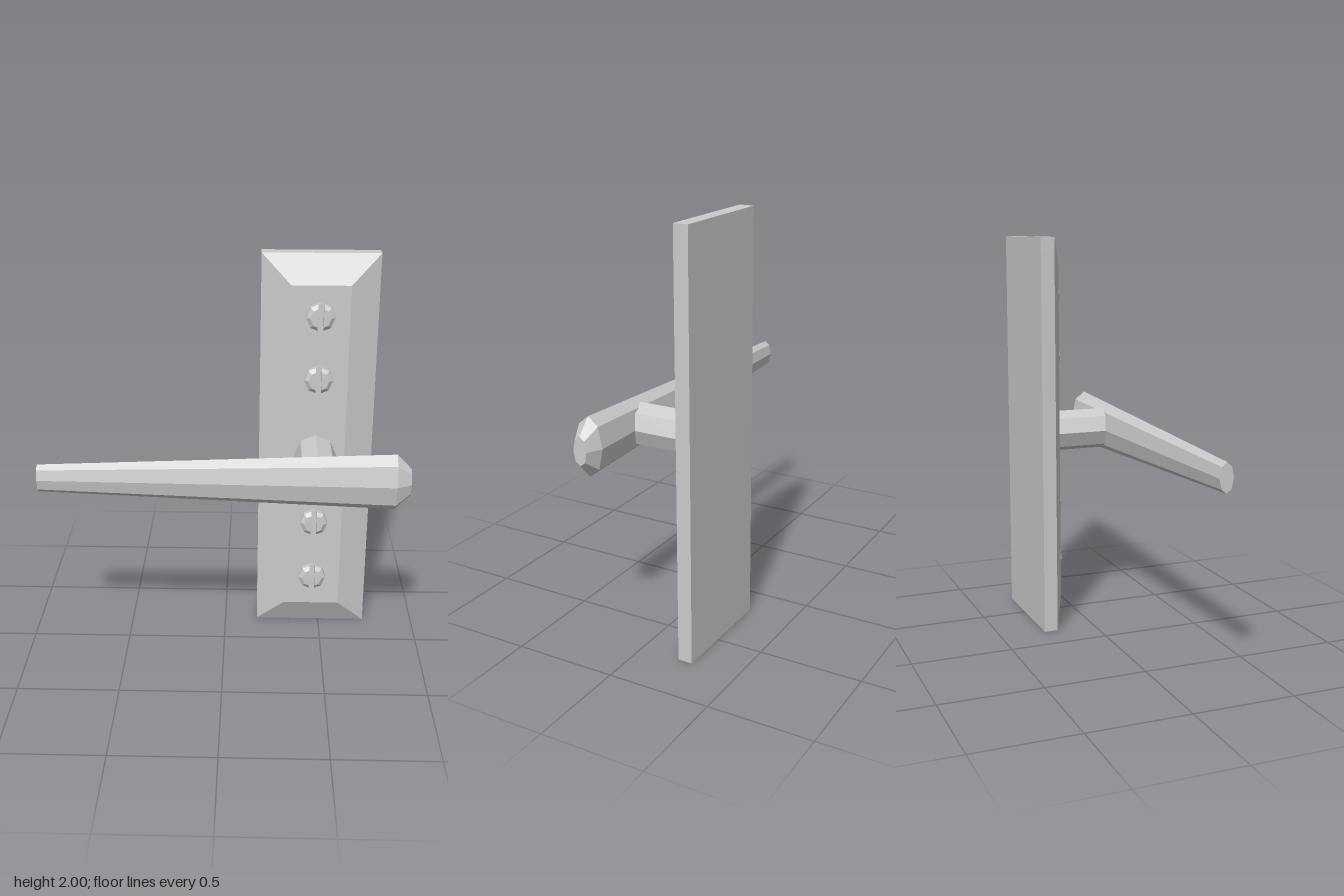
import * as THREE from 'three';
import { ConvexGeometry } from 'three/addons/geometries/ConvexGeometry.js';

const material = new THREE.MeshStandardMaterial({ color: 0xcccccc, flatShading: true });
const CX = 0.455, CY = 0.995;

function part(name, geometry, parent) {
  const mesh = new THREE.Mesh(geometry, material);
  mesh.name = name;
  parent.add(mesh);
  return mesh;
}

// Convex solid through rectangles given as [halfWidth, halfHeight, z]
function rectSolid(sections) {
  const points = [];
  for (const [w, h, z] of sections)
    for (const sx of [-1, 1])
      for (const sy of [-1, 1]) points.push(new THREE.Vector3(sx * w, sy * h, z));
  return new ConvexGeometry(points);
}

// Half of an octagonal chamfered screw head, cut flat along the slot
function halfHead(side, slot) {
  const points = [];
  for (const [r, z] of [[0.07, 0], [0.07, 0.025], [0.05, 0.04]]) {
    const c = r * Math.SQRT1_2, end = r - slot * 0.414;
    for (const [x, y] of [[slot, end], [c, c], [r, 0], [c, -c], [slot, -end]])
      points.push(new THREE.Vector3(side * x, y, z));
  }
  return new ConvexGeometry(points);
}

function createScrew(y) {
  const screw = new THREE.Group();
  screw.name = 'screw';
  part('slotFloor', new THREE.CylinderGeometry(0.07, 0.07, 0.015, 8).rotateX(Math.PI / 2), screw).position.z = 0.0075;
  part('headLeft', halfHead(1, 0.014), screw);
  part('headRight', halfHead(-1, 0.014), screw);
  screw.position.set(CX, y, -0.13);
  return screw;
}

export function createModel() {
  const model = new THREE.Group();
  model.name = 'doorHandle';

  // Back plate with bevelled front
  part('backPlate', rectSolid([[0.285, 1, -0.27], [0.285, 1, -0.2], [0.143, 0.86, -0.13]]), model)
    .position.set(CX, 1, 0);

  // Screws
  for (const y of [1.71, 1.395, 0.623, 0.308]) model.add(createScrew(y));

  // Spindle from plate to lever
  part('spindle', new THREE.CylinderGeometry(0.105, 0.105, 0.32, 8).rotateX(Math.PI / 2), model)
    .position.set(0.45, CY, 0.03);

  // Tapered lever, flattened in depth, with a chamfered end
  const profile = [[0, -0.89], [0.07, -0.89], [0.142, 0.82], [0.07, 0.89], [0, 0.89]]
    .map(([r, x]) => new THREE.Vector2(r, x));
  const lever = new THREE.LatheGeometry(profile, 8).rotateZ(-Math.PI / 2).scale(1, 1, 0.5);
  part('lever', lever, model).position.set(0, CY, 0.197);

  return model;
}
